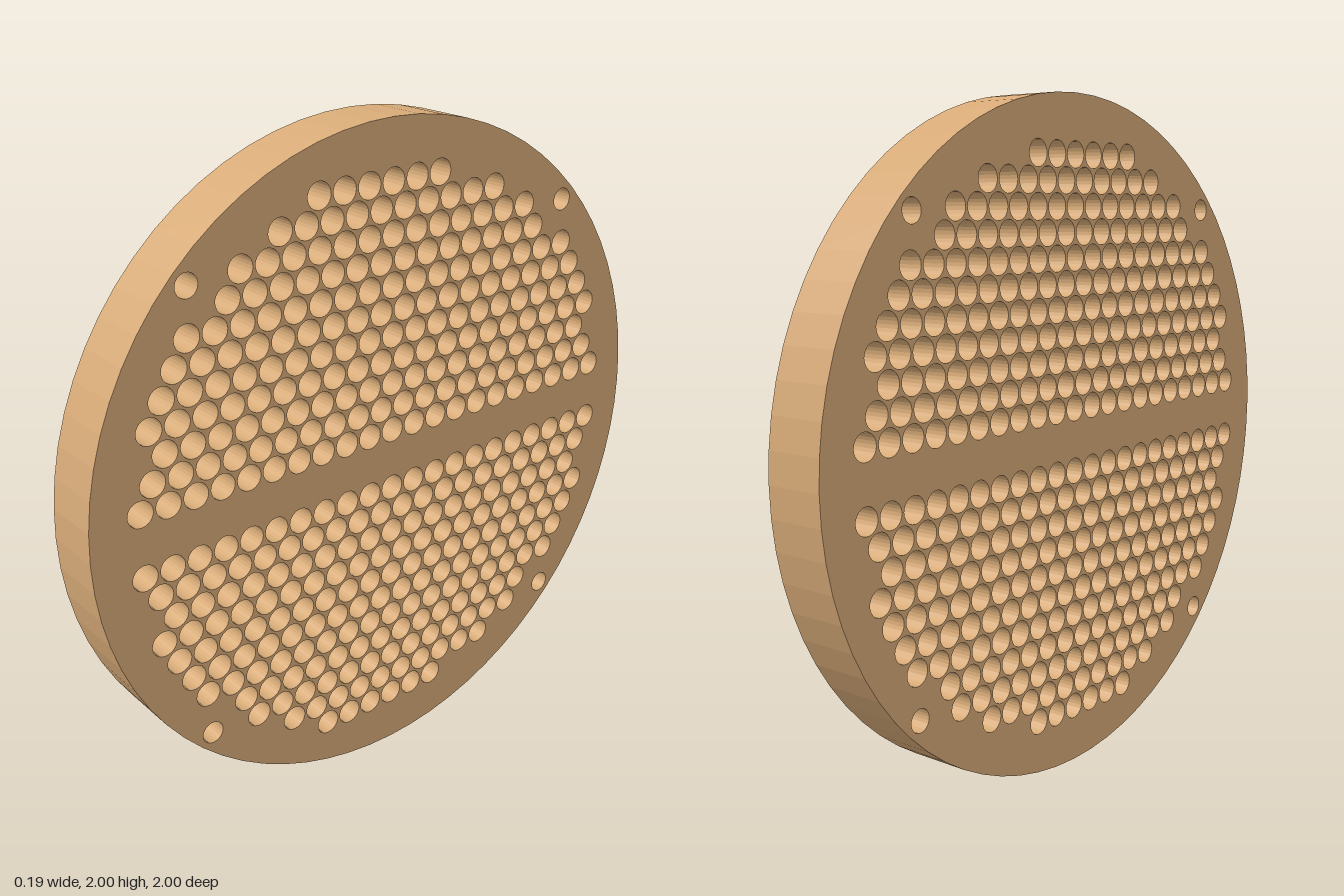
import * as THREE from 'three';

const THICKNESS = 0.185;
const PITCH = 0.0847;            // distance between neighbouring holes
const ROW = PITCH * Math.sqrt(3) / 2;
const FIRST_ROW = 0.094;         // first row's distance from the centre line

// Points of a regular polygon standing in for a circle
function circle(cx, cy, r, sides) {
  return Array.from({ length: sides }, (_, i) => {
    const a = (i / sides) * Math.PI * 2;
    return new THREE.Vector2(cx + r * Math.cos(a), cy + r * Math.sin(a));
  });
}

export function createModel() {
  const group = new THREE.Group();
  group.name = 'perforatedDisc';

  // Disc outline, drawn with shape x along the model's z
  const disc = new THREE.Shape(circle(0, 0, 1, 72));
  const drill = (z, y, r) => disc.holes.push(new THREE.Path(circle(z, y, r, 24)));

  // Staggered tube holes: [first, last] position of each row, in pitches
  const rows = [
    [-10, 10], [-9.5, 9.5], [-9, 9], [-9.5, 9.5], [-9, 9], [-8.5, 8.5],
    [-8, 8], [-6.5, 6.5], [-6, 6], [-4.5, 4.5], [-2, 3],
  ];
  for (const side of [1, -1]) {
    rows.forEach(([first, last], i) => {
      for (let k = first; k <= last; k++) {
        drill(k * PITCH, side * (FIRST_ROW + i * ROW), 0.0385);
      }
    });
    // Tie rod holes near the rim
    for (const z of [-0.67, 0.67]) drill(z, side * 0.67, 0.034);
  }

  const geometry = new THREE.ExtrudeGeometry(disc, { depth: THICKNESS, bevelEnabled: false });
  geometry.translate(0, 0, -THICKNESS / 2);
  geometry.rotateY(-Math.PI / 2);
  geometry.translate(0, 1, 0);

  const plate = new THREE.Mesh(geometry, new THREE.MeshStandardMaterial({ color: 0xd8ab78 }));
  plate.name = 'tubePlate';
  group.add(plate);
  return group;
}
